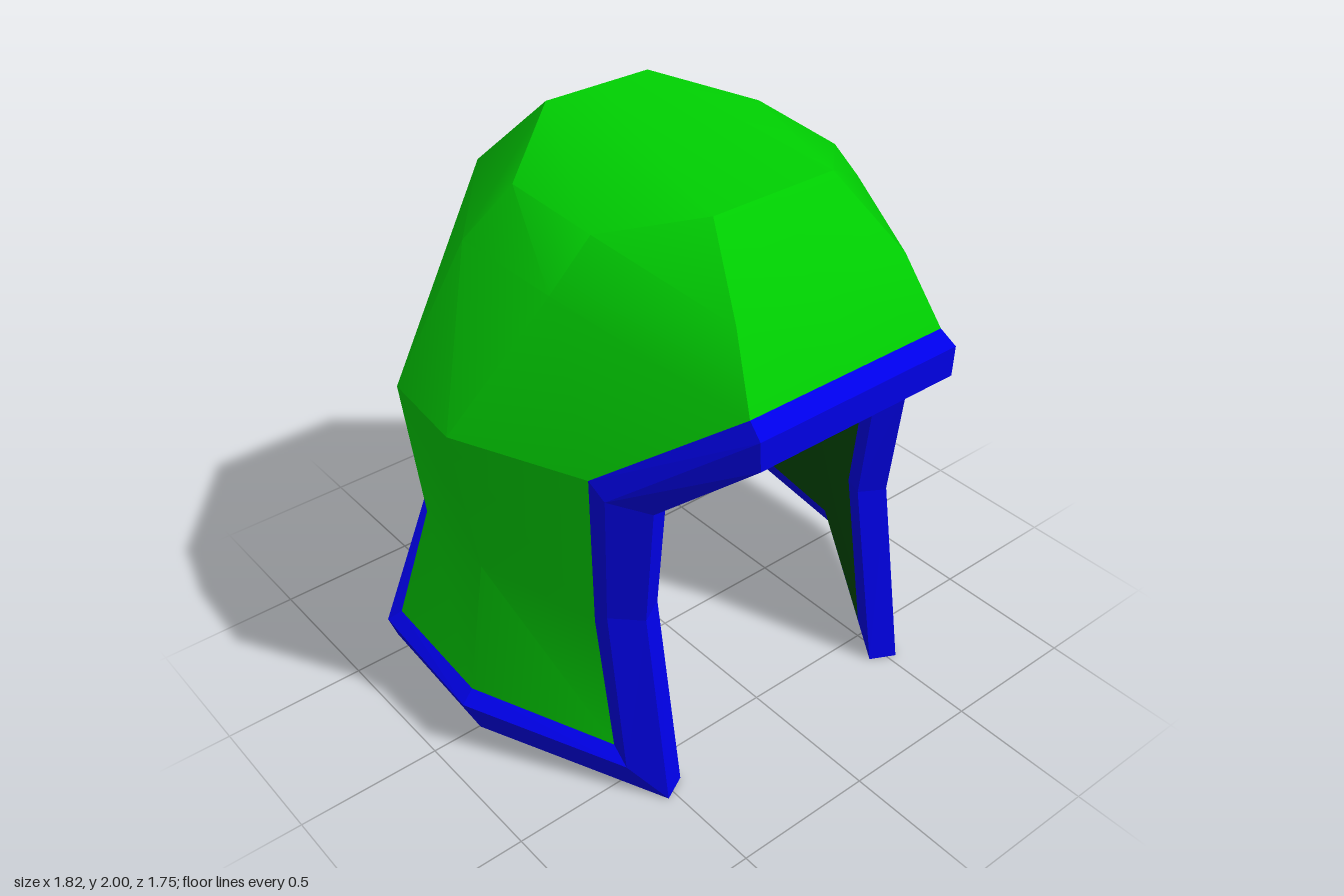
import * as THREE from 'three';
import { toCreasedNormals, mergeGeometries } from 'three/addons/utils/BufferGeometryUtils.js';

const mid = (p) => [0, p[1], p[2]];
const CREASE = THREE.MathUtils.degToRad(33);

// Turns polygons of the +x half into a mirrored, symmetric geometry
function mirrored(polys, crease) {
  const pos = [];
  const fan = (pts) => {
    for (let i = 1; i < pts.length - 1; i++) pos.push(...pts[0], ...pts[i], ...pts[i + 1]);
  };
  for (const poly of polys) {
    fan(poly);
    fan(poly.map(([x, y, z]) => [-x, y, z]).reverse());
  }
  const g = new THREE.BufferGeometry();
  g.setAttribute('position', new THREE.Float32BufferAttribute(pos, 3));
  g.computeVertexNormals();
  return crease ? toCreasedNormals(g, crease) : g;
}

// Quads between two rows of points, listed front to back
function strip(upper, lower, from = 0) {
  const out = [];
  for (let i = from; i < upper.length - 1; i++) {
    out.push([upper[i], lower[i], lower[i + 1], upper[i + 1]]);
  }
  return out;
}

// Trim sections along the face opening and the neck:
// shell edge, outer, end, inner, lining edge
const trim = [
  [[0.38, 1.5, 0.82], [0.39, 1.46, 0.875], [0.385, 1.36, 0.875], [0.35, 1.36, 0.79], [0.34, 1.43, 0.76]],
  [[0.635, 1.19, 0.42], [0.63, 1.15, 0.49], [0.53, 1.115, 0.59], [0.44, 1.125, 0.54], [0.52, 1.16, 0.43]],
  [[0.605, 0.62, 0.39], [0.61, 0.68, 0.46], [0.525, 0.68, 0.545], [0.44, 0.68, 0.495], [0.505, 0.64, 0.39]],
  [[0.61, 0.155, 0.48], [0.615, 0.11, 0.55], [0.53, 0, 0.66], [0.443, 0, 0.615], [0.505, 0.065, 0.49]],
  [[0.865, 0.24, 0.05], [0.91, 0.2, 0.06], [0.87, 0.1, 0.09], [0.79, 0.11, 0.06], [0.76, 0.18, 0.05]],
  [[0.87, 0.295, -0.37], [0.91, 0.26, -0.4], [0.87, 0.155, -0.42], [0.79, 0.17, -0.37], [0.766, 0.235, -0.33]],
  [[0.42, 0.37, -0.825], [0.44, 0.335, -0.875], [0.43, 0.238, -0.875], [0.39, 0.235, -0.78], [0.375, 0.295, -0.745]],
];

// Shell rows of the +x half: front, front side, back side, back
const rows = {
  crown: [[0.23, 1.935, 0.485], [0.475, 1.865, 0.25], [0.485, 1.89, -0.11], [0.2, 2, -0.33]],
  brow: [[0.33, 1.72, 0.7], [0.61, 1.71, 0.23], [0.62, 1.72, -0.19], [0.27, 1.72, -0.63]],
  temple: [[0.862, 1.235, 0.03], [0.84, 1.25, -0.28], [0.36, 1.25, -0.8]],
  neck: [[0.78, 0.7, 0.03], [0.77, 0.72, -0.3], [0.31, 0.74, -0.73]],
};

// Dome and skirt polygons, with every row passed through "move"
function shellParts(edge, move) {
  const [crown, brow, temple, neck] = Object.values(rows).map((r) => r.map(move));
  const back = (row) => [...row, mid(row[row.length - 1])];
  const full = (row) => [mid(row[0]), ...back(row)];
  const [f, s1, s2, b] = crown;
  const dome = [
    // crown cap
    [mid(f), f, b, mid(b)], [f, s1, s2, b],
    // crown to brow
    ...strip(full(crown), full(brow)),
    // forehead and the cheek above the opening corner
    [mid(brow[0]), mid(edge[0]), edge[0], brow[0]],
    [brow[0], edge[0], edge[1], brow[1]],
    [brow[1], edge[1], temple[0]],
    // brow to temple
    ...strip(back(brow), back([edge[1], ...temple]), 1),
  ];
  const skirt = [
    ...strip(back([edge[1], ...temple]), back([edge[2], ...neck])),
    ...strip(back([edge[2], ...neck]), back(edge.slice(3))),
  ];
  return [dome, skirt];
}

// Lining rows sit inside the shell rows
const inward = ([x, y, z]) => [x * 0.88, y - 0.08 * Math.max(0, y - 1), z * 0.9];

export function createModel() {
  const green = new THREE.MeshStandardMaterial({ color: 0x00ce02 });
  green.name = 'green';
  const darkGreen = new THREE.MeshStandardMaterial({ color: 0x004a04 });
  darkGreen.name = 'darkGreen';
  const blue = new THREE.MeshStandardMaterial({ color: 0x0000e8 });
  blue.name = 'blue';

  const group = new THREE.Group();
  group.name = 'helmet';
  const add = (name, geometry, material) => {
    const mesh = new THREE.Mesh(geometry, material);
    mesh.name = name;
    group.add(mesh);
  };

  // Outer shell, with a sharp fold between dome and skirt
  const [dome, skirt] = shellParts(trim.map((s) => s[0]), (p) => p);
  add('dome', mirrored(dome, CREASE), green);
  add('skirt', mirrored(skirt, CREASE), green);

  // Lining, facing inwards
  const lining = shellParts(trim.map((s) => s[4]), inward);
  const flipped = lining.map((part) => mirrored(part.map((p) => [...p].reverse()), CREASE));
  add('lining', mergeGeometries(flipped), darkGreen);

  // Trim band swept along the opening and the neck edge
  const path = [trim[0].map(mid), ...trim, trim[6].map(mid)];
  const band = [];
  for (let k = 0; k < 4; k++) {
    band.push(...strip(path.map((s) => s[k]), path.map((s) => s[k + 1])));
  }
  add('trimBand', mirrored(band, 0), blue);

  return group;
}
